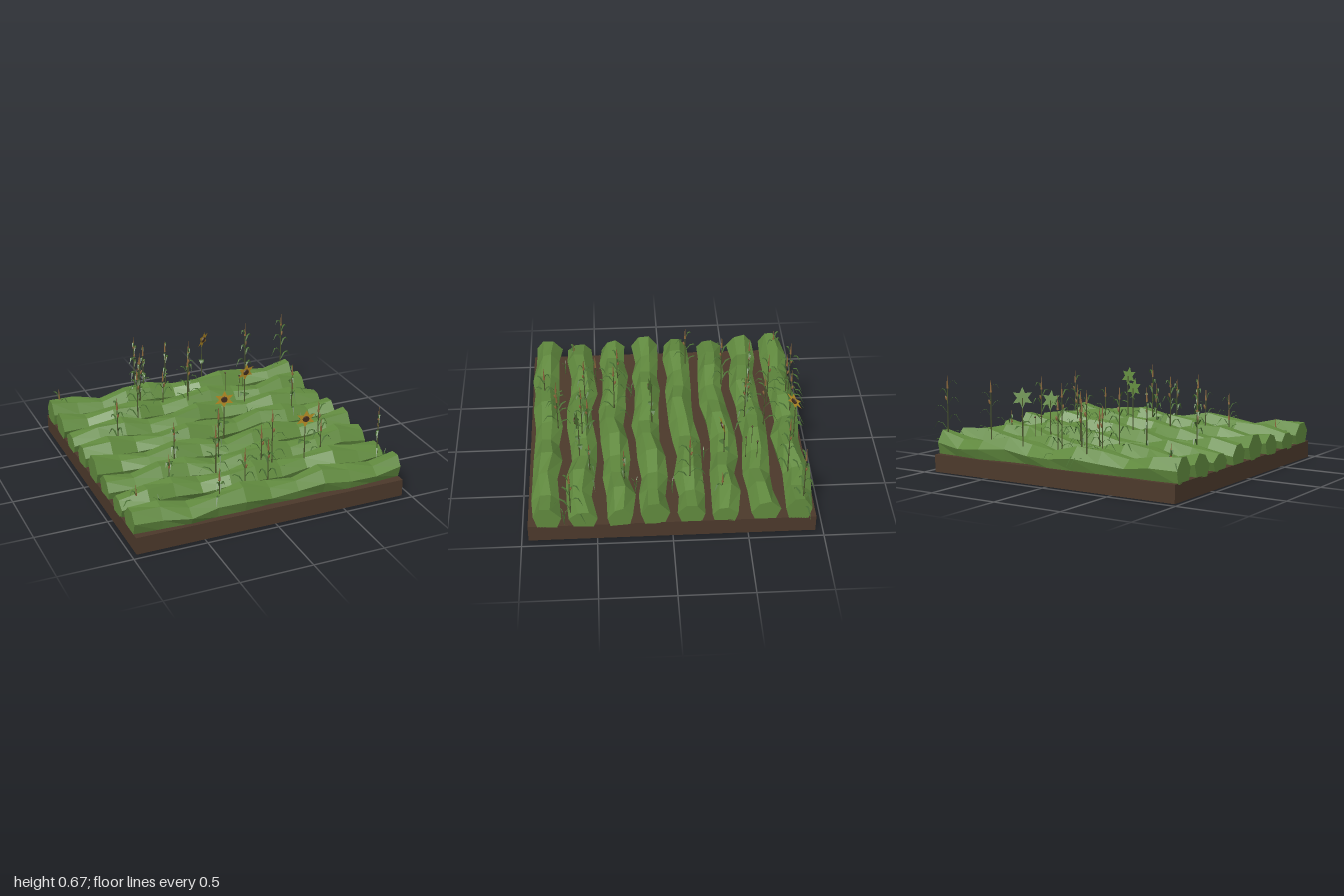
import * as THREE from 'three';

const mat = (name, color, extra = {}) => new THREE.MeshStandardMaterial({ name, color, ...extra });
const DOUBLE = { side: THREE.DoubleSide };

function add(parent, name, geometry, material, x = 0, y = 0, z = 0) {
  const mesh = new THREE.Mesh(geometry, material);
  mesh.name = name;
  mesh.position.set(x, y, z);
  parent.add(mesh);
  return mesh;
}

function fromTriangles(points) {
  const g = new THREE.BufferGeometry();
  g.setAttribute('position', new THREE.Float32BufferAttribute(points.flat(), 3));
  g.computeVertexNormals();
  return g;
}

// Faceted hedge: one cross-section swept along x with sideways and height waves
const SECTION = [[-0.065, 0.11], [-0.092, 0.19], [-0.03, 0.255], [0.038, 0.248], [0.09, 0.186], [0.065, 0.11]];
const X0 = -0.965, X1 = 0.945;
function hedge(shift, row) {
  const n = shift.length - 1, tris = [];
  const v = (i, k) => {
    const [z, y] = SECTION[k];
    const bottom = k === 0 || k === 5;
    const crest = k === 2 || k === 3;
    const lift = (bottom ? 0.006 : crest ? 0.029 : 0.017) * Math.sin(i * 1.9 + row * 1.7 + k * 0.45);
    const slide = bottom ? 0 : 0.008 * Math.sin(i * 2.6 + row * 2.3 + k * 1.3);
    return [X0 + (X1 - X0) * i / n, y + lift, z + slide + shift[i] * 0.01];
  };
  for (let i = 0; i < n; i++) for (let k = 0; k < 5; k++) {
    const a = v(i, k), b = v(i, k + 1), c = v(i + 1, k + 1), d = v(i + 1, k);
    tris.push(a, b, c, a, c, d);
  }
  for (let k = 1; k < 5; k++) {
    tris.push(v(n, 0), v(n, k), v(n, k + 1));
    tris.push(v(0, 0), v(0, k + 1), v(0, k));
  }
  return fromTriangles(tris);
}

// Narrow arching leaf in the xy plane, width along z
function leaf(reach, rise, droop, width) {
  const pts = [[0, 0, 0.3], [0.35, rise, 1], [0.65, rise * 1.1, 0.8], [1, rise - droop, 0]];
  const tris = [];
  for (let i = 0; i < 3; i++) {
    const [x, y, w] = pts[i], [X, Y, W] = pts[i + 1];
    const a = [x * reach, y, w * width], b = [x * reach, y, -w * width];
    const c = [X * reach, Y, -W * width], d = [X * reach, Y, W * width];
    tris.push(a, d, c, a, c, b);
  }
  return fromTriangles(tris);
}

// Corn: x, z, top height, leaf plane angle in degrees (from +x towards +z)
const CORN = [
  [-0.89, -0.87, 0.36, 45], [-0.29, -0.91, 0.66, -55], [-0.23, -0.88, 0.6, -62], [-0.31, -0.76, 0.55, -70],
  [-0.05, -0.89, 0.6, -60], [0.57, -0.8, 0.66, -35], [0.9, -0.86, 0.67, -22], [0.06, -0.69, 0.65, 100],
  [-0.35, -0.62, 0.66, 12], [-0.18, -0.6, 0.5, -20], [0.0, -0.56, 0.6, 40], [-0.44, -0.43, 0.63, 55],
  [0.75, -0.34, 0.38, 40], [-0.68, -0.18, 0.55, 80], [0.64, -0.13, 0.6, -75], [-0.46, 0.33, 0.55, -50],
  [-0.15, 0.36, 0.62, -80], [0.63, 0.31, 0.5, -10], [-0.56, 0.49, 0.4, -55], [-0.26, 0.57, 0.6, 40],
  [0.08, 0.55, 0.52, 40], [0.14, 0.59, 0.65, 35], [0.53, 0.54, 0.48, -15], [0.9, 0.67, 0.55, -60],
  [0.03, 0.76, 0.54, 82], [-0.14, 0.77, 0.5, 60], [-0.36, 0.86, 0.45, -52], [-0.85, 0.65, 0.32, -20],
];

// Sunflowers: x, z, head height, yaw in degrees
const SUNFLOWERS = [[0.0, 0.11, 0.53, -12], [0.25, -0.87, 0.555, 40], [0.37, 0.62, 0.54, -8], [0.38, -0.37, 0.47, 12]];

// Sideways wave of each hedge, in hundredths
const WAVES = [
  [0, -1, 0, -1, -2, -2, 2, 1, -2, 0, 1],
  [-1, -2, 1, 2, 0, -1, -1, 0, 2, 1, -1],
  [-1, -1, 0, 2, 1, -1, -3, -2, 1, 0, 2],
  [0, 1, 0, 1, 2, 1, -1, -2, 0, -1, 0],
  [0, -1, 1, 0, 1, 3, 2, 0, -1, 1, 0],
  [0, 1, -1, 0, 2, 3, 1, 0, 1, -2, -1],
  [1, 1, -1, -2, 2, 1, -1, -2, 1, 2, -1],
  [0, 1, 2, 1, 1, -1, 0, -1, 1, 0, -1],
];

export function createModel() {
  const model = new THREE.Group();
  model.name = 'cropField';
  const soil = mat('soil brown', 0x4c392b, DOUBLE);
  const hedgeGreen = mat('hedge green', 0x60893e);
  const stalkGreen = mat('stalk green', 0x4f5a30);
  const leafGreen = mat('leaf green', 0x4a7034, DOUBLE);
  const tan = mat('tassel tan', 0x8f6a3e);
  const yellow = mat('petal yellow', 0xc99c2a);
  const seed = mat('seed brown', 0x4a3320);

  // Soil bed, open underneath
  const bed = new THREE.BoxGeometry(X1 - X0, 0.12, 1.905);
  const index = Array.from(bed.index.array);
  index.splice(18, 6);
  bed.setIndex(index);
  bed.clearGroups();
  add(model, 'soilBed', bed, soil, (X0 + X1) / 2, 0.06, 0.0025);

  // Hedge rows
  WAVES.forEach((shift, row) =>
    add(model, 'hedgeRow', hedge(shift, row), hedgeGreen, 0, 0, -0.843 + row * 0.24));

  // Corn plants: long low leaves, short upper leaves, a tassel and an ear
  CORN.forEach(([x, z, top, angle], n) => {
    const plant = new THREE.Group();
    plant.name = 'cornPlant';
    plant.position.set(x, 0.115, z);
    plant.rotation.y = -THREE.MathUtils.degToRad(angle);
    model.add(plant);
    const h = top - 0.115, stem = h - 0.07;
    add(plant, 'cornStalk', new THREE.CylinderGeometry(0.003, 0.005, stem, 5), stalkGreen, 0, stem / 2, 0);
    const count = Math.max(4, Math.round(h * 14));
    for (let i = 0; i < count; i++) {
      const t = (i + 0.9) / (count + 0.4);
      const reach = 0.14 - 0.08 * t + 0.012 * Math.sin(n * 3 + i * 2);
      const blade = add(plant, 'cornLeaf', leaf(reach, 0.05, 0.075 - 0.055 * t, 0.0075), leafGreen, 0, stem * t, 0);
      blade.rotation.y = (i % 2) * Math.PI + 0.12 * Math.sin(n + i * 1.9);
    }
    add(plant, 'tassel', new THREE.ConeGeometry(0.008, 0.1, 5), tan, 0, stem + 0.02, 0);
    if (h > 0.38) {
      const ear = add(plant, 'cornEar', new THREE.SphereGeometry(0.007, 6, 4), tan, 0.01, stem * 0.8, 0);
      ear.scale.y = 2.6;
      ear.rotation.z = -0.25;
    }
  });

  // Sunflowers: six pointed petals with green backs, heads nodding forward
  const star = new THREE.Shape();
  for (let i = 0; i < 12; i++) {
    const r = i % 2 ? 0.036 : 0.072, a = (i + 3) * Math.PI / 6;
    star[i ? 'lineTo' : 'moveTo'](r * Math.cos(a), r * Math.sin(a));
  }
  const petals = new THREE.ShapeGeometry(star);
  for (const [x, z, y, yaw] of SUNFLOWERS) {
    const flower = new THREE.Group();
    flower.name = 'sunflower';
    flower.position.set(x, 0, z);
    flower.rotation.y = THREE.MathUtils.degToRad(yaw);
    model.add(flower);
    add(flower, 'flowerStem', new THREE.CylinderGeometry(0.003, 0.005, y - 0.115, 5), stalkGreen, 0, (y + 0.115) / 2, -0.012);
    for (const s of [0, 1]) {
      const blade = add(flower, 'flowerLeaf', leaf(0.06, 0.012, 0.02, 0.02), leafGreen, 0, y - 0.2 + s * 0.03, -0.012);
      blade.rotation.y = s * Math.PI + 0.4;
    }
    const head = new THREE.Group();
    head.name = 'flowerHead';
    head.position.y = y;
    head.rotation.x = 0.2;
    flower.add(head);
    add(head, 'petals', petals, yellow, 0, 0, 0.003);
    add(head, 'petalBacks', petals, hedgeGreen, 0, 0, -0.003).rotation.y = Math.PI;
    add(head, 'seedDisc', new THREE.CylinderGeometry(0.022, 0.024, 0.008, 8), seed, 0, 0, 0.007).rotation.x = Math.PI / 2;
  }

  // Thin stems with dark buds
  for (const [x, z, y] of [[0.31, -0.58, 0.39], [0.4, -0.53, 0.37], [0.46, -0.6, 0.38]]) {
    add(model, 'budStem', new THREE.CylinderGeometry(0.002, 0.002, y - 0.12, 4), stalkGreen, x, (y + 0.12) / 2, z);
    add(model, 'bud', new THREE.SphereGeometry(0.007, 6, 4), seed, x, y, z);
  }

  // Upright grass tufts between the rows
  for (const [x, z] of [[-0.42, 0.235], [0.64, 0.235], [0.66, -0.01], [0.35, -0.245], [-0.72, 0.715], [0.93, 0.715]]) {
    for (let k = 0; k < 4; k++) {
      const blade = add(model, 'grassBlade', leaf(0.035, 0.1, -0.02, 0.003), leafGreen, x, 0.12, z);
      blade.rotation.y = x * 9 + k * 1.6;
    }
  }
  return model;
}
